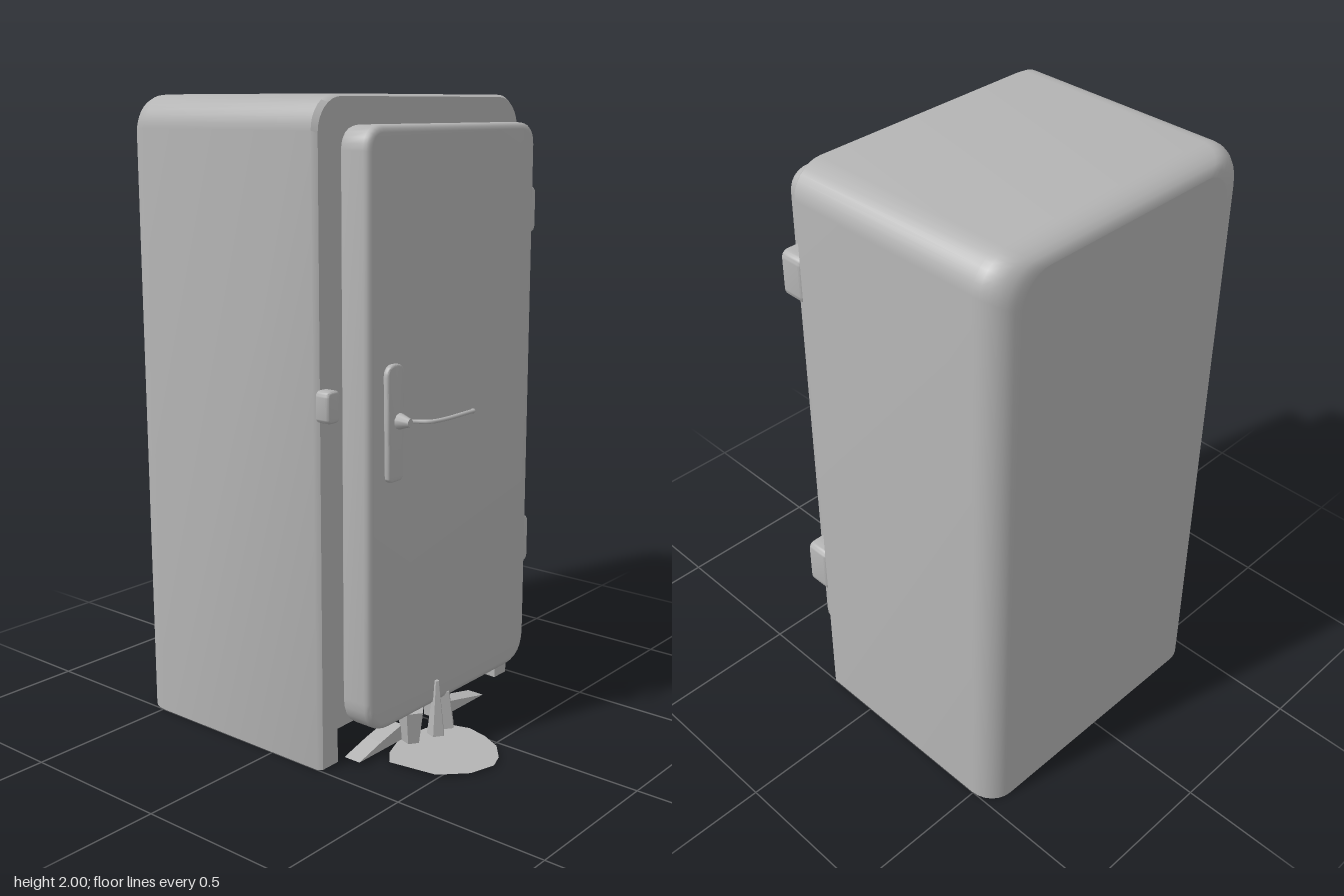
import * as THREE from 'three';
import { toCreasedNormals } from 'three/addons/utils/BufferGeometryUtils.js';

const grey = new THREE.MeshStandardMaterial({ color: 0xb4b4b4, side: THREE.DoubleSide });
grey.name = 'grey enamel';

function add(group, name, geometry, x = 0, y = 0, z = 0) {
  const mesh = new THREE.Mesh(geometry, grey);
  mesh.name = name;
  mesh.position.set(x, y, z);
  group.add(mesh);
  return mesh;
}

// Geometry from flat polygons, each a list of [x, y, z] corners
function polygons(list) {
  const pos = [];
  for (const p of list) {
    for (let i = 1; i < p.length - 1; i++) pos.push(...p[0], ...p[i], ...p[i + 1]);
  }
  const g = new THREE.BufferGeometry();
  g.setAttribute('position', new THREE.Float32BufferAttribute(pos, 3));
  g.computeVertexNormals();
  return g;
}

// Rounded rectangle with separate top and bottom radii
function roundedRect(x0, y0, x1, y1, rTop, rBottom) {
  const s = new THREE.Shape();
  s.moveTo(x0 + rBottom, y0);
  s.lineTo(x1 - rBottom, y0);
  s.quadraticCurveTo(x1, y0, x1, y0 + rBottom);
  s.lineTo(x1, y1 - rTop);
  s.quadraticCurveTo(x1, y1, x1 - rTop, y1);
  s.lineTo(x0 + rTop, y1);
  s.quadraticCurveTo(x0, y1, x0, y1 - rTop);
  s.lineTo(x0, y0 + rBottom);
  s.quadraticCurveTo(x0, y0, x0 + rBottom, y0);
  return s;
}

// Bevelled slab whose outer size is the given box
function slab(x0, y0, x1, y1, depth, bevel, rTop, rBottom = rTop) {
  const shape = roundedRect(x0 + bevel, y0 + bevel, x1 - bevel, y1 - bevel, rTop, rBottom);
  const g = new THREE.ExtrudeGeometry(shape, {
    depth: depth - 2 * bevel, bevelSize: bevel, bevelThickness: bevel, bevelSegments: 3, curveSegments: 6,
  });
  g.translate(0, 0, bevel);
  return toCreasedNormals(g, 0.7);
}

// Cabinet outline: straight sides and rounded top corners
function section(inset) {
  const w = 0.5 - inset, top = 2 - inset * 0.6, r = 0.1;
  const pts = [[-w, 0]];
  for (let i = 0; i <= 8; i++) {
    const a = Math.PI - (i / 8) * Math.PI / 2;
    pts.push([-w + r + r * Math.cos(a), top - r + r * Math.sin(a)]);
  }
  const right = pts.map(([x, y]) => [-x, y]).reverse();
  return pts.concat(right);
}

function cabinetShell(slices) {
  const pos = [], index = [];
  const n = section(0).length;
  slices.forEach(([z, inset], i) => {
    section(inset).forEach(([x, y], j) => {
      pos.push(x, y, z);
      if (i < slices.length - 1 && j < n - 1) {
        const a = i * n + j, b = a + 1, c = a + n, d = c + 1;
        index.push(a, b, c, b, d, c);
      }
    });
  });
  const g = new THREE.BufferGeometry();
  g.setAttribute('position', new THREE.Float32BufferAttribute(pos, 3));
  g.setIndex(index);
  return toCreasedNormals(g, 0.7);
}

function toShape(points) {
  return new THREE.Shape(points.map(([x, y]) => new THREE.Vector2(x, y)));
}

function createCabinet() {
  const cabinet = new THREE.Group();
  cabinet.name = 'cabinet';

  // Side, top and rounded rear edges
  const slices = [[0.2, 0.012], [0.185, 0]];
  for (let i = 0; i <= 6; i++) {
    const a = (i / 6) * Math.PI / 2;
    slices.push([-0.495 - 0.09 * Math.sin(a), 0.085 * (1 - Math.cos(a))]);
  }
  add(cabinet, 'shell', cabinetShell(slices));
  const back = new THREE.ShapeGeometry(toShape(section(0.085)));
  add(cabinet, 'backPanel', back.rotateY(Math.PI), 0, 0, -0.585);

  // Front frame with a notch between the feet
  const frame = section(0.012).concat([[0.42, 0], [0.42, 0.11], [-0.42, 0.11], [-0.42, 0]]);
  add(cabinet, 'frontFrame', new THREE.ShapeGeometry(toShape(frame)), 0, 0, 0.2);

  // U-shaped base rim, drawn with shape y as z
  const side = slices.map(([z, inset]) => [0.5 - inset, z]);
  const rim = [...side, ...side.map(([x, z]) => [-x, z]).reverse(),
    [-0.42, 0.2], [-0.44, -0.51], [0.44, -0.51], [0.42, 0.2]];
  add(cabinet, 'baseRim', new THREE.ShapeGeometry(toShape(rim)).rotateX(Math.PI / 2));

  // Sloping hollow under the cabinet
  const cheek = (s) => [[s * 0.44, 0, -0.51], [s * 0.42, 0, 0.2], [s * 0.42, 0.11, 0.2],
    [s * 0.4, 0.15, -0.02], [s * 0.4, 0.15, -0.44]];
  add(cabinet, 'baseHollow', polygons([
    cheek(-1), cheek(1).reverse(),
    [[-0.44, 0, -0.51], [-0.4, 0.15, -0.44], [0.4, 0.15, -0.44], [0.44, 0, -0.51]],
    [[-0.4, 0.15, -0.44], [-0.4, 0.15, -0.02], [0.4, 0.15, -0.02], [0.4, 0.15, -0.44]],
    [[-0.4, 0.15, -0.02], [-0.42, 0.11, 0.2], [0.42, 0.11, 0.2], [0.4, 0.15, -0.02]],
  ]));
  return cabinet;
}

function createHandle() {
  const handle = new THREE.Group();
  handle.name = 'handle';

  // Back plate, narrowing towards the bottom
  const plate = slab(-0.04, 0, 0.04, 0.35, 0.02, 0.006, 0.03, 0.012);
  const p = plate.attributes.position;
  for (let i = 0; i < p.count; i++) p.setX(i, p.getX(i) * (0.82 + 0.5 * p.getY(i)));
  add(handle, 'handlePlate', plate, -0.31, 0.89, 0.318);

  const boss = new THREE.CylinderGeometry(0.012, 0.027, 0.045, 10).rotateX(Math.PI / 2);
  add(handle, 'handleBoss', boss, -0.295, 1.07, 0.355);

  const path = new THREE.CatmullRomCurve3([
    [-0.3, 0.345], [-0.27, 0.375], [-0.245, 0.41], [-0.2, 0.422], [-0.045, 0.421],
  ].map(([x, z]) => new THREE.Vector3(x, 0, z)));
  const lever = add(handle, 'lever', new THREE.TubeGeometry(path, 20, 0.008, 8), 0, 1.07, 0);
  lever.scale.y = 0.8;
  add(handle, 'leverTip', new THREE.SphereGeometry(0.008, 8, 6), -0.045, 1.07, 0.421);
  return handle;
}

function createSpill() {
  const spill = new THREE.Group();
  spill.name = 'spill';

  // Flat pool on the ground
  const pool = toShape([[-0.33, 0.33], [-0.305, 0.49], [-0.23, 0.565], [-0.145, 0.59], [-0.09, 0.57],
    [-0.03, 0.52], [0.005, 0.45], [0.02, 0.38], [0, 0.31], [-0.07, 0.27], [-0.2, 0.26], [-0.28, 0.29]]
    .map(([x, z]) => [x, -z]));
  add(spill, 'pool', new THREE.ShapeGeometry(pool).rotateX(-Math.PI / 2), 0, 0.006, 0);

  // Angular drips below the door: x, z, top y, bottom width, top width
  for (const [x, z, top, wide, narrow] of [
    [-0.085, 0.325, 0.19, 0.03, 0.008], [-0.175, 0.295, 0.115, 0.03, 0.045], [-0.02, 0.3, 0.13, 0.045, 0.025]]) {
    const g = new THREE.CylinderGeometry(narrow, wide, top - 0.01, 5).toNonIndexed();
    g.computeVertexNormals();
    add(spill, 'drip', g, x, (top + 0.01) / 2, z);
  }

  // Low wedges lying behind the pool
  for (const [x0, x1, h] of [[-0.4, -0.19, 0.05], [0.25, 0, 0.055]]) {
    const wedge = toShape([[x0, 0.012], [x1, 0.012], [x1, 0.012 + h], [(x0 + x1) / 2, 0.04]]);
    add(spill, 'wedge', new THREE.ExtrudeGeometry(wedge, { depth: 0.06, bevelEnabled: false }), 0, 0, 0.21);
  }
  return spill;
}

export function createModel() {
  const model = new THREE.Group();
  model.name = 'refrigerator';
  model.add(createCabinet());

  // Door and its seal
  add(model, 'door', slab(-0.415, 0.11, 0.418, 1.915, 0.11, 0.02, 0.05, 0.085), 0, 0, 0.21);
  add(model, 'doorSeal', new THREE.BoxGeometry(0.74, 1.68, 0.03), 0, 1.01, 0.205);
  model.add(createHandle());

  // Hinges on the model's left, joined by a narrow strip
  for (const [y0, y1] of [[0.43, 0.595], [1.56, 1.71]]) {
    add(model, 'hinge', slab(0.415, y0, 0.498, y1, 0.085, 0.01, 0.015), 0, 0, 0.19);
  }
  add(model, 'hingeStrip', new THREE.BoxGeometry(0.04, 0.98, 0.014), 0.455, 1.08, 0.206);

  // Catch opposite the hinges
  add(model, 'catch', slab(-0.505, 1.08, -0.45, 1.175, 0.05, 0.008, 0.01), 0, 0, 0.195);

  model.add(createSpill());
  return model;
}
